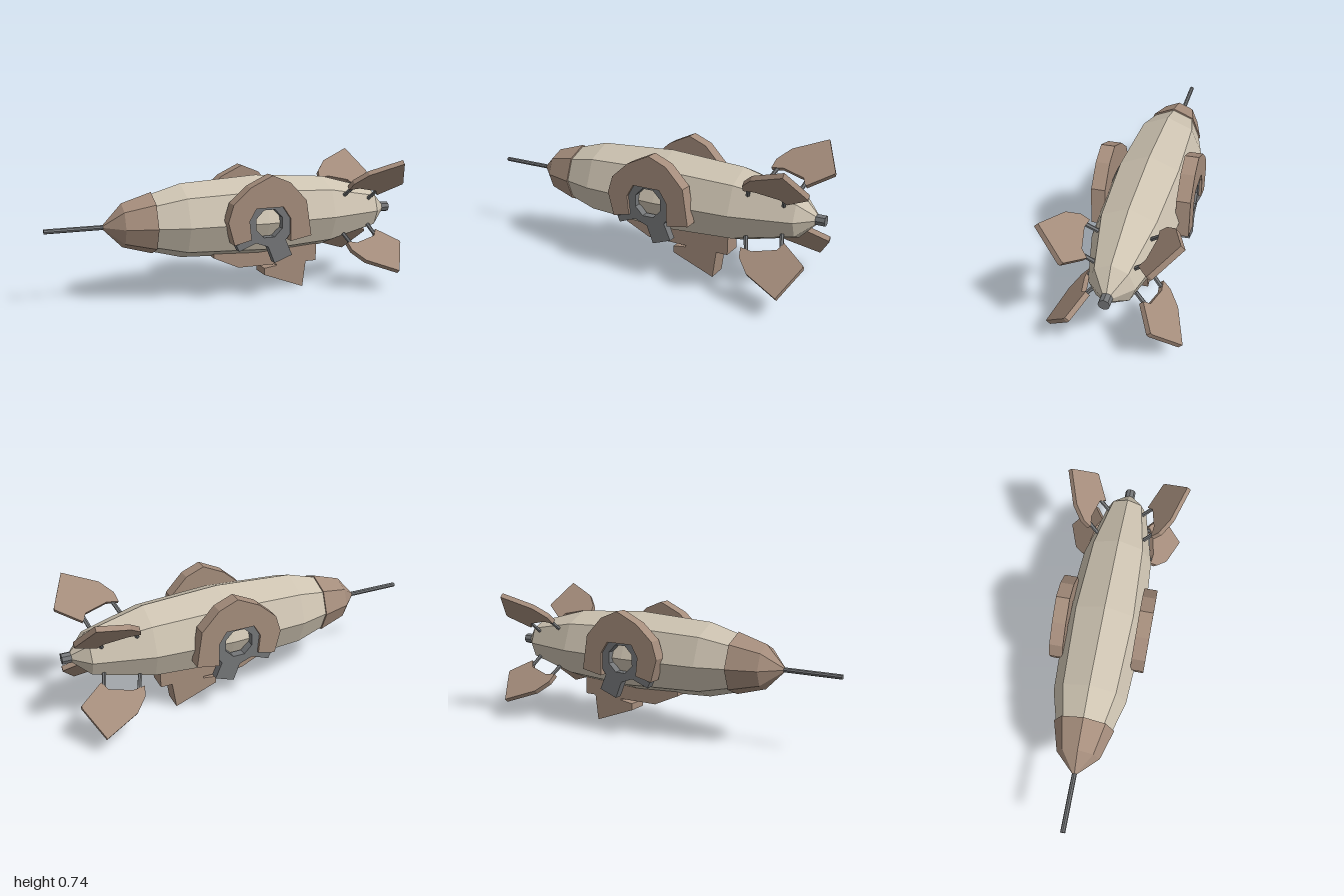
import * as THREE from 'three';

const AXIS_Y = 0.419;
const mat = (color, side = THREE.FrontSide) =>
  new THREE.MeshStandardMaterial({ color, flatShading: true, side });
const beige = mat(0xcdc3b1);
const brown = mat(0xa58d7c);
const grey = mat(0x747678);

function add(parent, name, geometry, material) {
  const mesh = new THREE.Mesh(geometry, material);
  mesh.name = name;
  parent.add(mesh);
  return mesh;
}

// Eight-sided body along x from [x, radius] stations; the upper half is a little taller.
function lathed(stations) {
  const pts = stations.map(([x, r]) => new THREE.Vector2(r, x));
  const g = new THREE.LatheGeometry(pts, 8);
  g.rotateZ(-Math.PI / 2);
  const p = g.attributes.position;
  for (let i = 0; i < p.count; i++) if (p.getY(i) > 0) p.setY(i, p.getY(i) * 1.06);
  return g.translate(0, AXIS_Y, 0);
}

function rod(x0, x1, r) {
  return new THREE.CylinderGeometry(r, r, x1 - x0, 8)
    .rotateZ(Math.PI / 2).translate((x0 + x1) / 2, AXIS_Y, 0);
}

// Flat plate from an outline, centred on its thickness.
function plate(outline, depth, hole) {
  const shape = new THREE.Shape(outline.map(([x, y]) => new THREE.Vector2(x, y)));
  if (hole) shape.holes.push(new THREE.Path(hole.map(([x, y]) => new THREE.Vector2(x, y))));
  return new THREE.ExtrudeGeometry(shape, { depth, bevelEnabled: false }).translate(0, 0, -depth / 2);
}

// Rod between two points in the fin plane
function strut(a, b, r) {
  const d = new THREE.Vector2(b[0] - a[0], b[1] - a[1]);
  return new THREE.CylinderGeometry(r, r, d.length(), 6)
    .rotateZ(Math.atan2(d.y, d.x) - Math.PI / 2)
    .translate((a[0] + b[0]) / 2, (a[1] + b[1]) / 2, 0);
}

export function createModel() {
  const model = new THREE.Group();
  model.name = 'airship';

  // Hull, nose cap, nose spike and tail stub
  add(model, 'hull', lathed([
    [-0.6, 0], [-0.6, 0.1], [-0.44, 0.152], [-0.28, 0.196], [0.15, 0.219],
    [0.56, 0.193], [0.87, 0.114], [0.955, 0.026], [0.955, 0],
  ]), beige);
  add(model, 'noseCap', lathed([
    [-0.7, 0], [-0.7, 0.012], [-0.6, 0.114], [-0.44, 0.161], [-0.44, 0.145],
  ]), brown);
  add(model, 'noseSpike', rod(-1, -0.68, 0.013), grey);
  add(model, 'tailStub', rod(0.94, 1, 0.029), grey);

  // Gondola and its keel under the hull
  add(model, 'gondola', plate([
    [-0.11, 0.26], [-0.11, 0.213], [0.035, 0.147], [0.264, 0.147], [0.264, 0.138],
    [0.19, 0.128], [0.19, 0.09], [0.427, 0], [0.445, 0.147], [0.509, 0.147],
    [0.509, 0.26],
  ], 0.115), brown);

  // Engine pods: brown arch around a grey ring with two legs
  const arch = [
    [0.147, 0.682], [0.024, 0.624], [-0.07, 0.54], [-0.099, 0.448], [-0.065, 0.325],
    [0.03, 0.347], [0.019, 0.448], [0.056, 0.512], [0.21, 0.512], [0.253, 0.448],
    [0.255, 0.325], [0.376, 0.347], [0.344, 0.539], [0.248, 0.64],
  ];
  const ring = [
    [0.056, 0.515], [0.014, 0.448], [0.028, 0.352], [-0.05, 0.32], [-0.035, 0.288],
    [0.061, 0.325], [0.131, 0.299], [0.168, 0.208], [0.27, 0.245], [0.232, 0.33],
    [0.258, 0.365], [0.258, 0.443], [0.21, 0.515],
  ];
  const eye = [];
  for (let i = 0; i < 8; i++) {
    const a = (i + 0.5) * Math.PI / 4;
    eye.push([0.136 + 0.08 * Math.cos(a), 0.425 + 0.08 * Math.sin(a)]);
  }
  for (const s of [1, -1]) {
    const pod = new THREE.Group();
    pod.name = s > 0 ? 'frontEnginePod' : 'backEnginePod';
    add(pod, 'engineArch', plate(arch, 0.073), brown);
    add(pod, 'engineRing', plate(ring, 0.045, eye), grey);
    pod.position.z = s * 0.221;
    model.add(pod);
  }

  // Four diagonal tail fins, each held by two struts
  const k = Math.SQRT2;
  const finOutline = [
    [0.888, 0.308], [0.71, 0.247], [0.648, 0.195], [0.637, 0.157], [0.7, 0.163],
    [0.82, 0.138], [0.845, 0.108], [0.968, 0.173], [0.968, 0.182],
  ].map(([x, t]) => [x, t * k]);
  for (const sy of [1, -1]) {
    for (const sz of [1, -1]) {
      const fin = new THREE.Group();
      fin.name = 'tailFin';
      add(fin, 'finPlate', plate(finOutline, 0.028), brown);
      add(fin, 'finStrut', strut([0.64, 0.11 * k], [0.675, 0.18 * k], 0.011), grey);
      add(fin, 'finStrut', strut([0.815, 0.075 * k], [0.845, 0.15 * k], 0.011), grey);
      fin.rotation.x = Math.atan2(sz, sy);
      fin.position.set(0, AXIS_Y, sz * 0.022);
      model.add(fin);
    }
  }
  return model;
}
